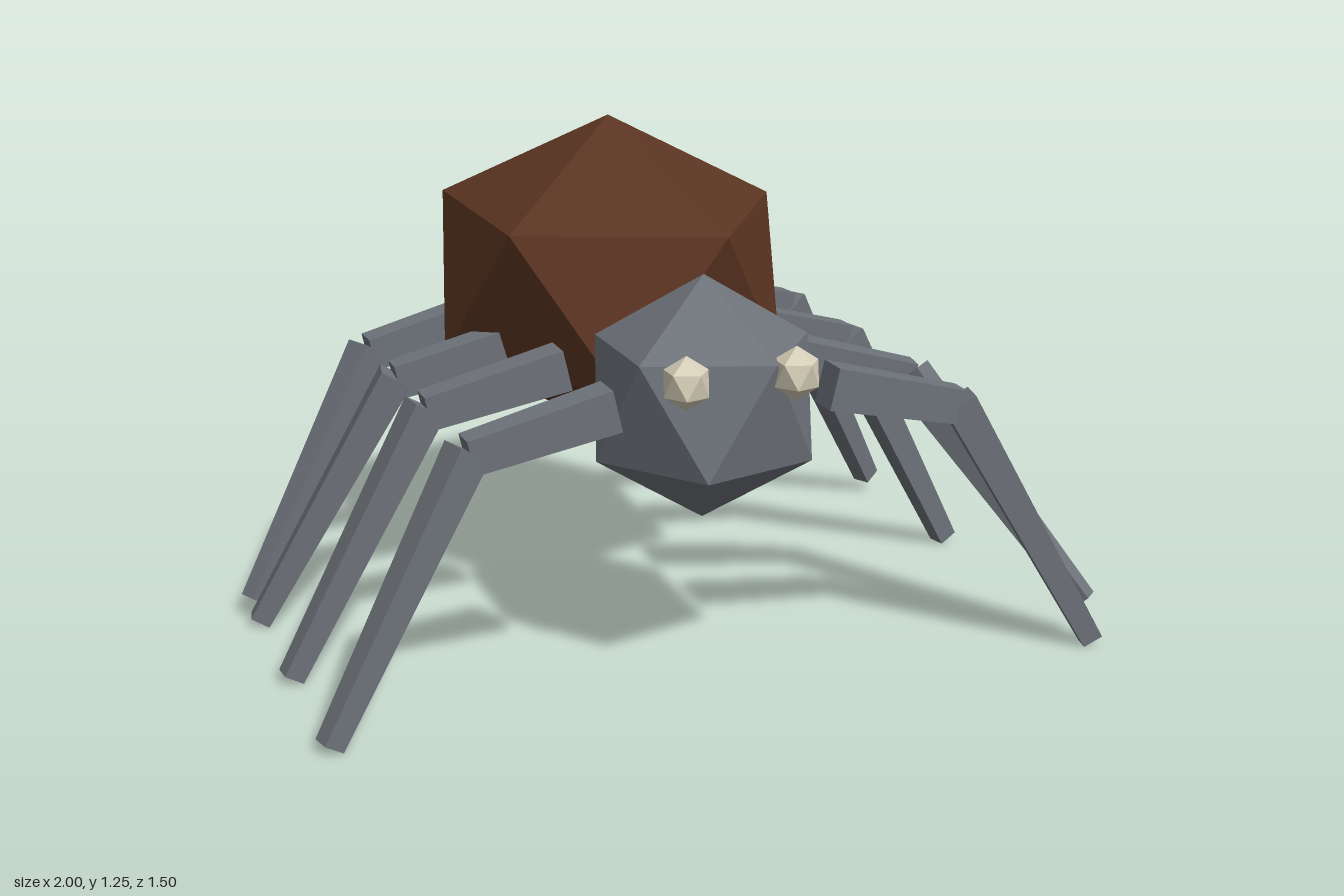
import * as THREE from 'three';

const brown = new THREE.MeshStandardMaterial({ color: 0x5c3522 });
brown.name = 'abdomen brown';
const grey = new THREE.MeshStandardMaterial({ color: 0x6e737a });
grey.name = 'body grey';
const cream = new THREE.MeshStandardMaterial({ color: 0xd6cfb8 });
cream.name = 'cream';

// Twenty-sided ball standing on a pole, with a five-point ring above and below the middle
function facetedBall(rx, ry, rz) {
  const ring = (i, offset, h) => {
    const a = (i + offset) * Math.PI * 0.4;
    return [0.8944 * rx * Math.cos(a), h * ry, 0.8944 * rz * Math.sin(a)];
  };
  const points = [];
  for (let i = 0; i < 5; i++) {
    const u = ring(i, 0, 0.4472), u2 = ring(i + 1, 0, 0.4472);
    const l = ring(i, 0.5, -0.4472), l2 = ring(i + 1, 0.5, -0.4472);
    points.push([0, ry, 0], u2, u, u, u2, l, u2, l2, l, l, l2, [0, -ry, 0]);
  }
  const geometry = new THREE.BufferGeometry();
  geometry.setAttribute('position', new THREE.Float32BufferAttribute(points.flat(), 3));
  geometry.computeVertexNormals();
  return geometry;
}

// Tapered square bar between two points; halfA and halfB are half-widths, tall stretches its height
function bar(from, to, halfA, halfB, tall = 1) {
  const a = new THREE.Vector3(...from), b = new THREE.Vector3(...to);
  const dir = b.clone().sub(a);
  const length = dir.length();
  dir.normalize();
  const side = new THREE.Vector3().crossVectors(dir, new THREE.Vector3(0, 1, 0)).normalize();
  const third = new THREE.Vector3().crossVectors(side, dir);
  const geometry = new THREE.CylinderGeometry(halfB * Math.SQRT2, halfA * Math.SQRT2, length, 4)
    .rotateY(Math.PI / 4).scale(1, 1, tall).toNonIndexed();
  geometry.applyMatrix4(new THREE.Matrix4().makeBasis(side, dir, third));
  const mid = a.add(b).multiplyScalar(0.5);
  geometry.translate(mid.x, mid.y, mid.z);
  geometry.computeVertexNormals();
  return geometry;
}

export function createModel() {
  const model = new THREE.Group();
  model.name = 'spider';
  const add = (name, geometry, material, parent = model) => {
    const mesh = new THREE.Mesh(geometry, material);
    mesh.name = name;
    parent.add(mesh);
    return mesh;
  };

  // Body
  add('abdomen', facetedBall(0.5, 0.42, 0.594), brown).position.set(0, 0.85, -0.245);
  add('head', facetedBall(0.3, 0.3, 0.3), grey).position.set(0, 0.7, 0.45);

  // Eyes and fangs
  for (const s of [1, -1]) {
    const side = s > 0 ? 'left' : 'right';
    add(side + 'Eye', facetedBall(0.06, 0.065, 0.06), cream).position.set(s * 0.135, 0.81, 0.695);
    add(side + 'Fang', bar([s * 0.107, 0.55, 0.697], [s * 0.107, 0.82, 0.697], 0.052, 0.006), cream);
  }

  // Legs: side, hip z, knee z, foot x, foot y, foot z
  const legs = [
    [1, 0.57, 0.57, 0.97, 0.03, 0.65],
    [1, 0.25, 0.31, 0.95, 0.13, 0.64],
    [1, -0.09, -0.1, 0.97, 0.03, -0.17],
    [1, -0.44, -0.495, 0.96, 0.06, -0.665],
    [-1, 0.57, 0.57, 0.97, 0.03, 0.65],
    [-1, 0.2, 0.195, 0.97, 0.03, 0.225],
    [-1, -0.09, -0.1, 0.97, 0.03, -0.17],
    [-1, -0.4, -0.385, 0.97, 0.06, -0.24],
  ];
  legs.forEach(([s, hipZ, kneeZ, footX, footY, footZ], i) => {
    const leg = new THREE.Group();
    leg.name = (s > 0 ? 'left' : 'right') + 'Leg' + (i % 4 + 1);
    add('upperLeg', bar([s * 0.27, 0.735, hipZ], [s * 0.615, 0.655, kneeZ], 0.045, 0.037, 1.15), grey, leg);
    add('lowerLeg', bar([s * 0.615, 0.665, kneeZ], [s * footX, footY, footZ], 0.041, 0.026), grey, leg);
    model.add(leg);
  });

  return model;
}
